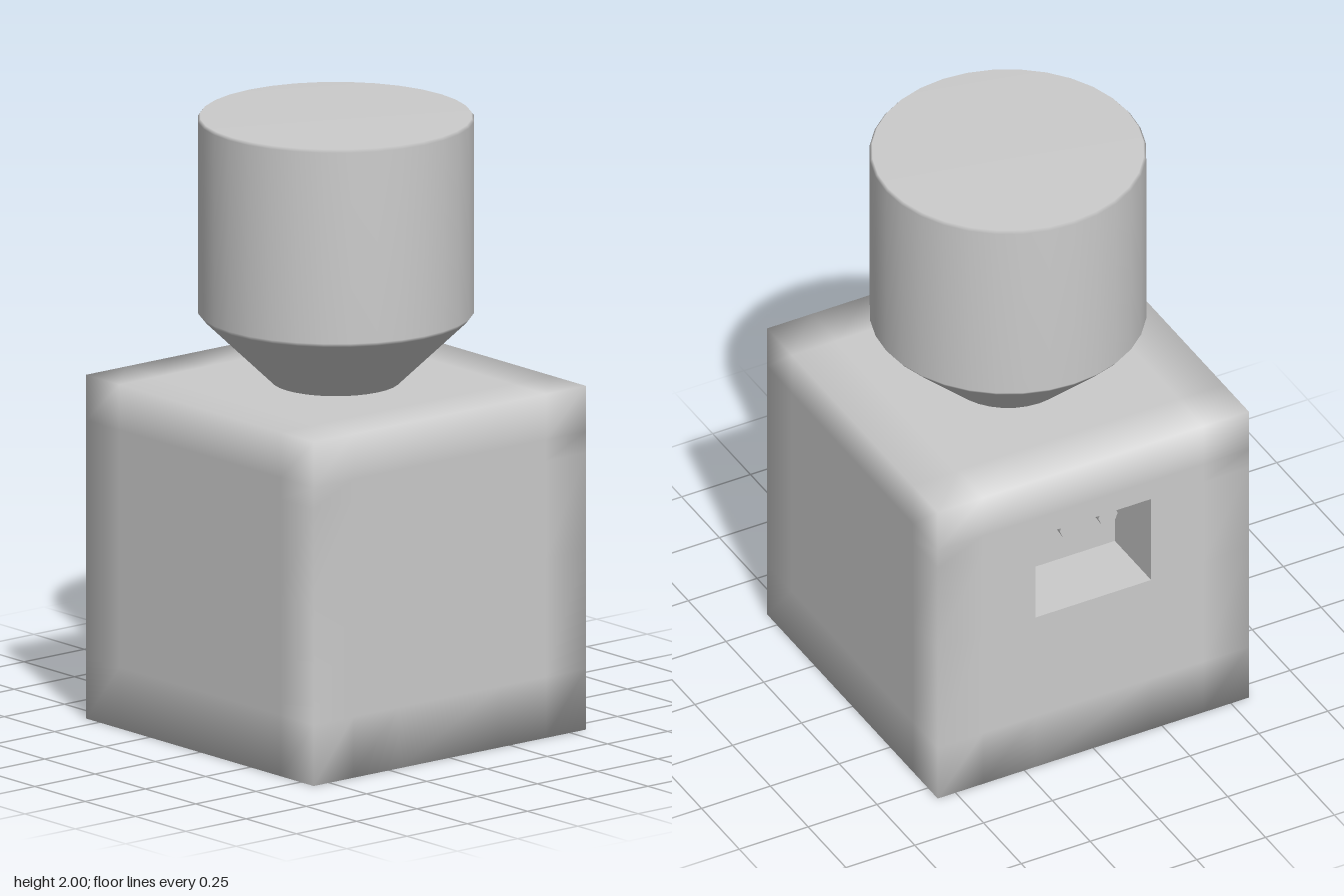
import * as THREE from 'three';
import { mergeVertices } from 'three/addons/utils/BufferGeometryUtils.js';

const H = 0.565; // half width of the cube
const SOCKET = { w: 0.42, y0: 0.59, y1: 0.91, depth: 0.24 };

export function createModel() {
  const group = new THREE.Group();
  const material = new THREE.MeshStandardMaterial({ color: 0xcccccc });
  const add = (name, geometry) => {
    const mesh = new THREE.Mesh(geometry, material);
    mesh.name = name;
    group.add(mesh);
    return mesh;
  };

  add('body', bodyGeometry());
  add('socketRecess', recessGeometry());

  // two tapered pins under the ceiling of the socket
  for (const side of [-1, 1]) {
    const pin = new THREE.CylinderGeometry(0.02, 0.035, 0.21, 8);
    pin.rotateX(Math.PI / 2); // wide end towards the back opening
    add(side > 0 ? 'leftPin' : 'rightPin', pin)
      .position.set(side * 0.07, 0.873, -H + 0.135);
  }

  // round head on a conical neck, with slim bevels
  const profile = [
    [0.205, 1.13], [0.432, 1.349], [0.442, 1.362],
    [0.442, 1.99], [0.434, 2], [0, 2],
  ].map(([r, y]) => new THREE.Vector2(r, y));
  add('head', new THREE.LatheGeometry(profile, 32));

  return group;
}

// Smooth-shaded cube on a 5 x 5 x 5 grid, its middle back cell left open
function bodyGeometry() {
  const across = [-H, -0.4, -SOCKET.w / 2, SOCKET.w / 2, 0.4, H];
  const up = [0, 0.2, SOCKET.y0, SOCKET.y1, 0.98, 2 * H];
  const box = new THREE.BoxGeometry(5, 5, 5, 5, 5, 5);
  const p = box.attributes.position;
  for (let i = 0; i < p.count; i++) {
    const [x, y, z] = [p.getX(i), p.getY(i), p.getZ(i)].map(v => Math.round(v + 2.5));
    p.setXYZ(i, across[x], up[y], across[z]);
  }
  box.deleteAttribute('uv');
  box.deleteAttribute('normal');
  box.clearGroups();
  const body = mergeVertices(box);
  body.computeVertexNormals();

  // drop the triangles covering the socket opening
  const q = body.attributes.position;
  const inHole = i => q.getZ(i) < -H + 0.01 && Math.abs(q.getX(i)) < SOCKET.w / 2 + 0.01
    && q.getY(i) > SOCKET.y0 - 0.01 && q.getY(i) < SOCKET.y1 + 0.01;
  const old = body.index.array, kept = [];
  for (let i = 0; i < old.length; i += 3) {
    const tri = [old[i], old[i + 1], old[i + 2]];
    if (!tri.every(inHole)) kept.push(...tri);
  }
  body.setIndex(kept);
  return body;
}

// Inward-facing box, open at the back
function recessGeometry() {
  const { w, y0, y1, depth } = SOCKET;
  const box = new THREE.BoxGeometry(w, y1 - y0, depth);
  box.setIndex(Array.from(box.index.array).slice(0, 30).reverse());
  box.clearGroups();
  box.computeVertexNormals();
  box.translate(0, (y0 + y1) / 2, -H + depth / 2);
  return box;
}
